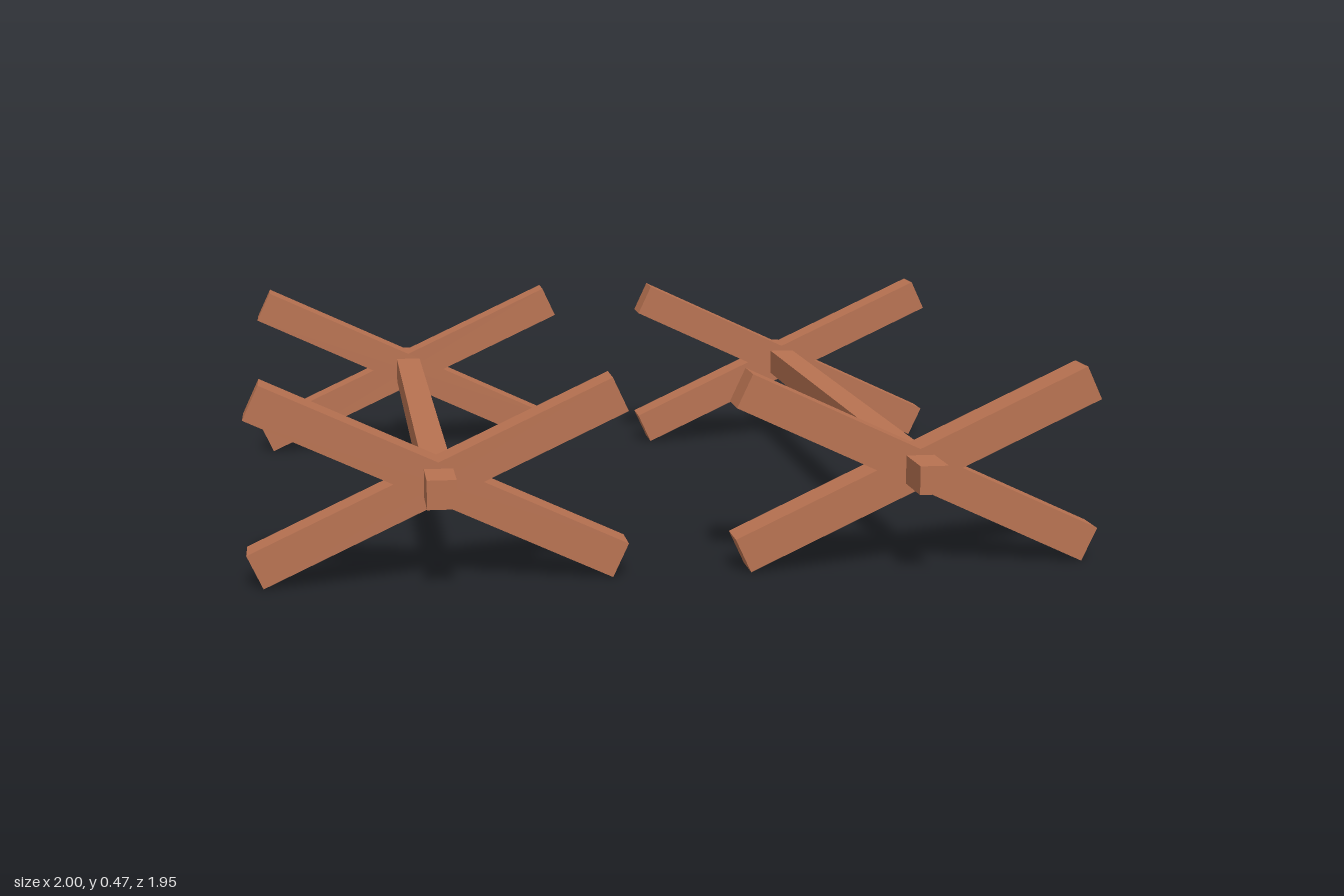
import * as THREE from 'three';

export function createModel() {
  const group = new THREE.Group();
  const wood = new THREE.MeshStandardMaterial({ color: 0xb87251 });
  wood.name = 'wood';

  const centreX = 0.563, centreY = 0.237, crossZ = 0.802;
  const tilt = THREE.MathUtils.degToRad(25);
  const railGeometry = new THREE.BoxGeometry(0.067, 0.067, 1.95);
  const legGeometry = new THREE.BoxGeometry(0.924, 0.087, 0.093);

  // Two mirrored trestles: a long rail carried by a crossed pair of legs at each end
  for (const side of [-1, 1]) {
    const trestle = new THREE.Group();
    trestle.name = side > 0 ? 'leftTrestle' : 'rightTrestle';
    trestle.position.set(side * centreX, centreY, 0);

    const rail = new THREE.Mesh(railGeometry, wood);
    rail.name = 'rail';
    trestle.add(rail);

    for (const end of [-1, 1]) {
      const cross = new THREE.Group();
      cross.name = end > 0 ? 'frontCross' : 'backCross';
      cross.position.z = end * crossZ;
      for (const lean of [-1, 1]) {
        const leg = new THREE.Mesh(legGeometry, wood);
        leg.name = lean > 0 ? 'risingLeg' : 'fallingLeg';
        leg.rotation.z = lean * tilt;
        cross.add(leg);
      }
      trestle.add(cross);
    }
    group.add(trestle);
  }
  return group;
}
